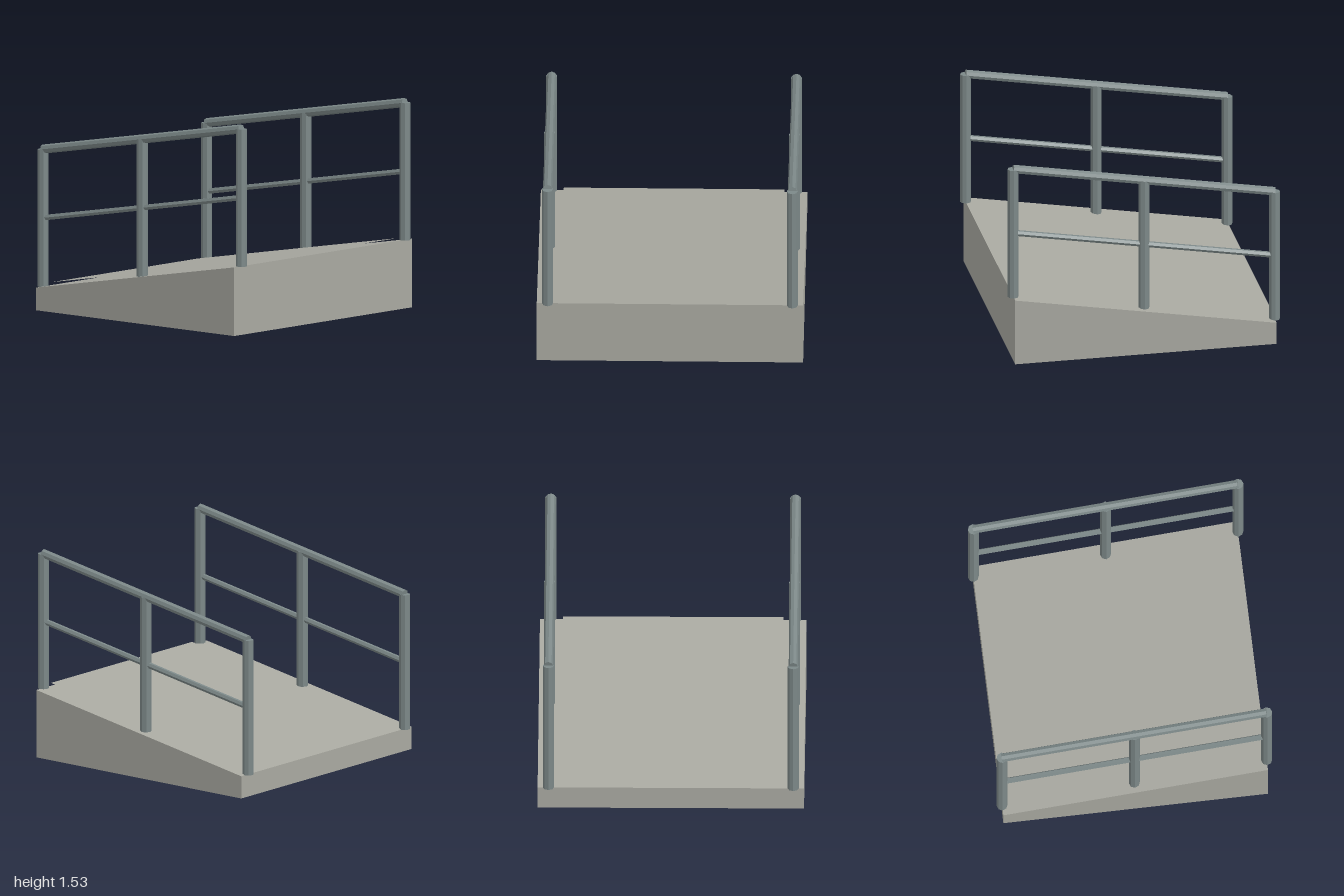
import * as THREE from 'three';

const HALF = 0.96;               // half width and depth of the base
const LOW = 0.165, HIGH = 0.5;   // deck height at the two ends
const RAIL_Z = 0.882;
const deckY = (x) => LOW + (HIGH - LOW) * (x + HALF) / (2 * HALF);

const concrete = new THREE.MeshStandardMaterial({ color: 0xa8a8a0, side: THREE.DoubleSide, flatShading: true });
concrete.name = 'concrete';
const metal = new THREE.MeshStandardMaterial({ color: 0x7c8888, flatShading: true });
metal.name = 'greyMetal';

function addMesh(parent, name, geometry, material) {
  const mesh = new THREE.Mesh(geometry, material);
  mesh.name = name;
  parent.add(mesh);
  return mesh;
}

// Straight bar parallel to the deck, running the full length at a given height above it
function addSlopedBar(parent, name, radius, sides, height) {
  const rise = HIGH - LOW;
  const length = Math.hypot(2 * HALF, rise);
  const bar = addMesh(parent, name, new THREE.CylinderGeometry(radius, radius, length, sides), metal);
  bar.rotation.z = Math.atan2(rise, 2 * HALF) - Math.PI / 2;
  bar.position.y = deckY(0) + height;
}

// Three posts, a handrail and a middle rail
function makeRailing(name, z) {
  const railing = new THREE.Group();
  railing.name = name;
  railing.position.z = z;
  for (const [postName, x] of [['lowPost', -HALF], ['middlePost', 0], ['highPost', HALF]]) {
    const post = addMesh(railing, postName, new THREE.CylinderGeometry(0.04, 0.04, 1, 8), metal);
    post.position.set(x, deckY(x) + 0.5, 0);
  }
  addSlopedBar(railing, 'handrail', 0.033, 8, 1);
  addSlopedBar(railing, 'middleRail', 0.022, 6, 0.5);
  return railing;
}

export function createModel() {
  const model = new THREE.Group();
  model.name = 'ramp';

  // Wedge-shaped base
  const side = new THREE.Shape([
    new THREE.Vector2(-HALF, 0), new THREE.Vector2(HALF, 0),
    new THREE.Vector2(HALF, HIGH), new THREE.Vector2(-HALF, LOW),
  ]);
  const wedge = new THREE.ExtrudeGeometry(side, { depth: 2 * HALF, bevelEnabled: false });
  wedge.translate(0, 0, -HALF);
  addMesh(model, 'base', wedge, concrete);

  // Thin walking surface just above the slope
  const surface = new THREE.PlaneGeometry(Math.hypot(2 * HALF, HIGH - LOW), 1.59);
  surface.rotateX(-Math.PI / 2);
  surface.rotateZ(Math.atan2(HIGH - LOW, 2 * HALF));
  surface.translate(0, deckY(0) + 0.021, 0);
  addMesh(model, 'walkingSurface', surface, concrete);

  model.add(makeRailing('leftRailing', RAIL_Z), makeRailing('rightRailing', -RAIL_Z));
  return model;
}
